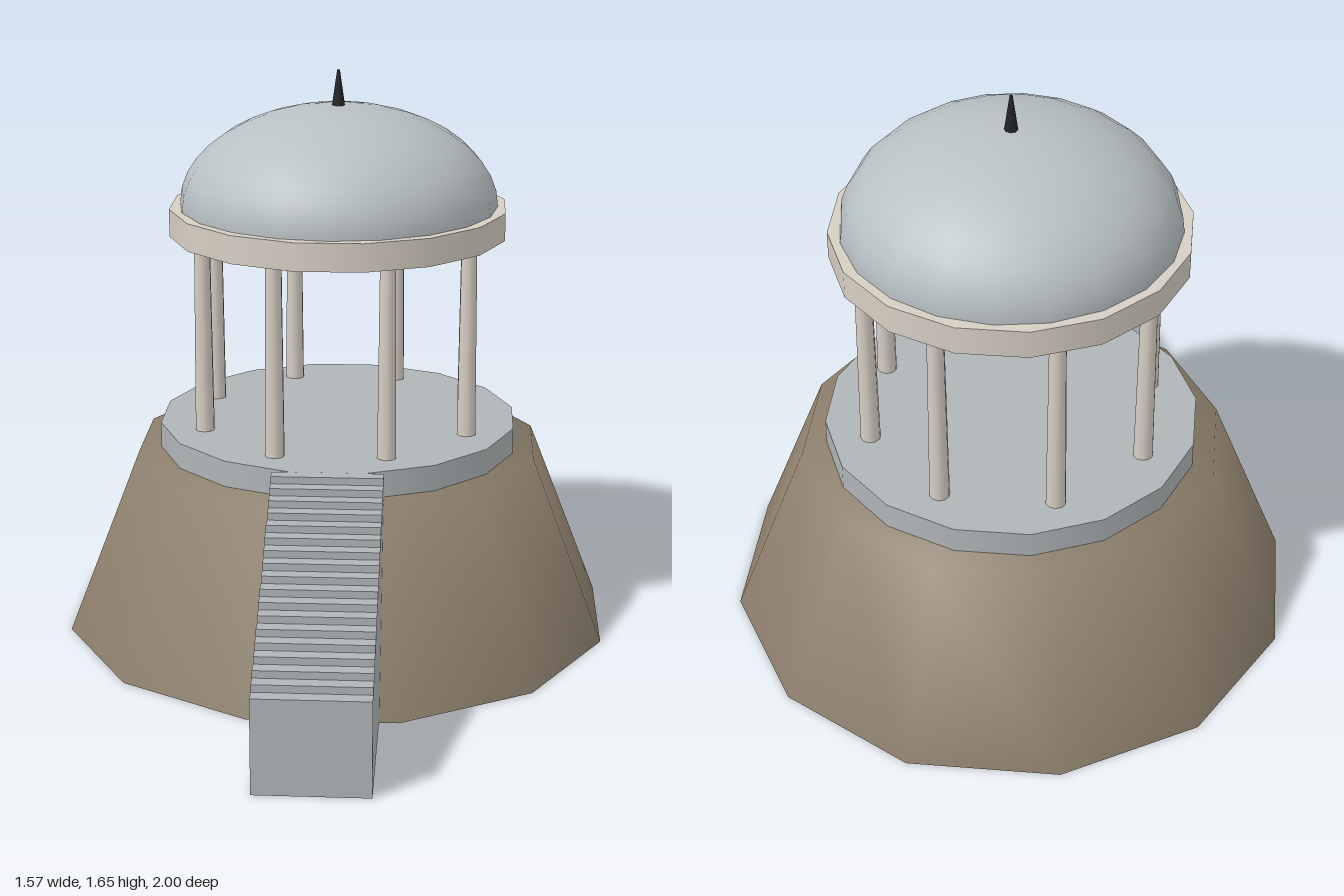
import * as THREE from 'three';

const material = (name, color, side = THREE.FrontSide) => {
  const m = new THREE.MeshStandardMaterial({ color, side });
  m.name = name;
  return m;
};

export function createModel() {
  const model = new THREE.Group();
  model.name = 'domedPavilion';
  const CZ = -0.215; // axis of the round parts

  const earth = material('earthBrown', 0x8b7d6b, THREE.DoubleSide);
  const stone = material('greyStone', 0xb0b5b7, THREE.DoubleSide);
  const cream = material('creamStone', 0xd6cec2);
  const roof = material('domeGrey', 0xb8c0c3);
  const dark = material('darkMetal', 0x222426);

  const add = (name, geometry, mat, x = 0, y = 0, z = CZ, parent = model) => {
    const mesh = new THREE.Mesh(geometry, mat);
    mesh.name = name;
    mesh.position.set(x, y, z);
    parent.add(mesh);
    return mesh;
  };

  // Twelve-sided mound, open underneath, softly rounded into its top
  const moundProfile = [[0.813, 0], [0.597, 0.545], [0, 0.545]].map(p => new THREE.Vector2(...p));
  add('mound', new THREE.LatheGeometry(moundProfile, 12, Math.PI / 12), earth);

  // Sixteen-sided floor and roof ring, a flat side facing front
  const drum = (r, h) => new THREE.CylinderGeometry(r, r, h, 16, 1, false, Math.PI / 16);
  add('floor', drum(0.527, 0.075), stone, 0, 0.5825);
  add('roofRing', drum(0.49, 0.08), cream, 0, 1.22);

  // Eight tapered columns
  const columns = new THREE.Group();
  columns.name = 'columns';
  model.add(columns);
  const columnGeometry = new THREE.CylinderGeometry(0.023, 0.028, 0.56, 10);
  for (let i = 0; i < 8; i++) {
    const a = (i + 0.5) * Math.PI / 4;
    add('column', columnGeometry, cream, 0.411 * Math.sin(a), 0.9, CZ + 0.411 * Math.cos(a), columns);
  }

  // Flattened half-sphere dome with a spike
  const dome = new THREE.SphereGeometry(1, 20, 10, 0, Math.PI * 2, 0, Math.PI / 2);
  dome.scale(0.46, 0.29, 0.46);
  add('dome', dome, roof, 0, 1.26);
  add('finial', new THREE.CylinderGeometry(0.004, 0.019, 0.105, 8), dark, 0, 1.5975);

  // Stairs: stepped outline as [z, y], from the back of the base round to the floor
  const steps = 18, zFront = 1, zBack = 0.302, yFirst = 0.267, yLast = 0.62, half = 0.155;
  const outline = [[zBack, 0], [zFront, 0]];
  for (let i = 0; i < steps; i++) {
    const y = yFirst + (yLast - yFirst) * i / (steps - 1);
    const z = k => zFront + (zBack - zFront) * k / steps;
    outline.push([z(i), y], [z(i + 1), y]);
  }
  const stairs = new THREE.Group();
  stairs.name = 'stairs';
  model.add(stairs);

  // Base, risers and treads, each a flat quad
  const positions = [];
  for (let i = 0; i < outline.length - 1; i++) {
    const [z0, y0] = outline[i], [z1, y1] = outline[i + 1];
    const a = [-half, y0, z0], b = [half, y0, z0], c = [half, y1, z1], d = [-half, y1, z1];
    positions.push(...a, ...b, ...c, ...a, ...c, ...d);
  }
  const treads = new THREE.BufferGeometry();
  treads.setAttribute('position', new THREE.Float32BufferAttribute(positions, 3));
  treads.computeVertexNormals();
  add('treads', treads, stone, 0, 0, 0, stairs);

  // Side walls, facing outwards left and right
  for (const s of [1, -1]) {
    const shape = new THREE.Shape(outline.map(([z, y]) => new THREE.Vector2(-s * z, y)));
    const wall = add('stairWall', new THREE.ShapeGeometry(shape), stone, s * half, 0, 0, stairs);
    wall.rotation.y = s * Math.PI / 2;
  }

  return model;
}
